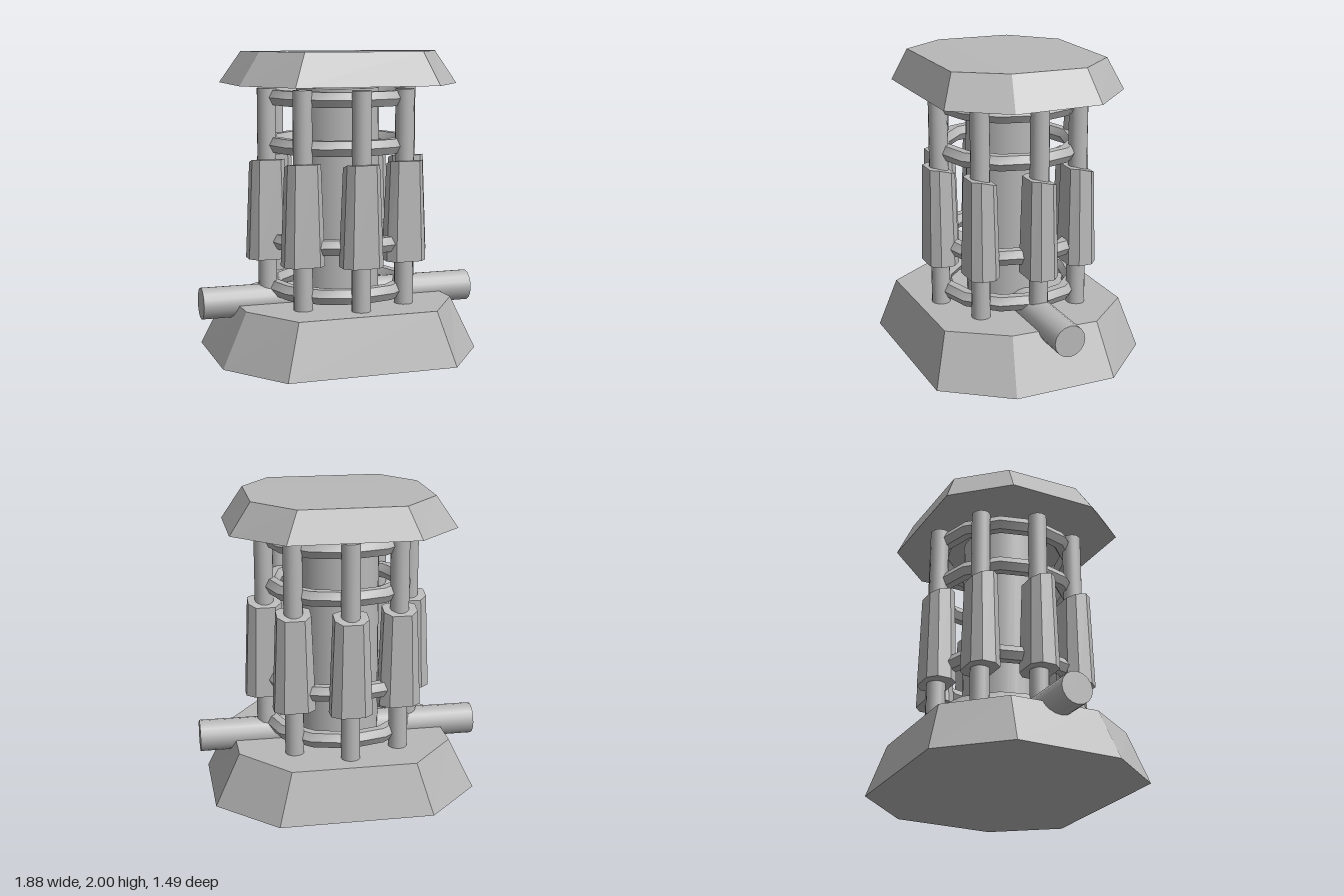
import * as THREE from 'three';
import { toCreasedNormals } from 'three/addons/utils/BufferGeometryUtils.js';

// Tapered eight-sided block of height 1 whose top slopes down to the back.
function taperedBlock() {
  // right-hand corners, front to back: x, z at the foot, then x, y, z at the top
  const right = [
    [0.56, 0.745, 0.46, 1, 0.645],
    [0.87, 0.33, 0.705, 1, 0.285],
    [0.87, -0.36, 0.705, 0.965, -0.315],
    [0.5, -0.745, 0.405, 0.935, -0.645],
  ];
  const foot = right.map(([x, z]) => [x, 0, z]);
  const top = right.map(([, , x, y, z]) => [x, y, z]);
  const mirrored = (pts) => [...pts, ...[...pts].reverse().map(([x, y, z]) => [-x, y, z])];
  const b = mirrored(foot), t = mirrored(top);
  const pos = [];
  const quad = (p, q, r, s) => pos.push(...p, ...q, ...r, ...p, ...r, ...s);
  for (let i = 0; i < 8; i++) {
    const j = (i + 1) % 8;
    quad(b[i], b[j], t[j], t[i]);
  }
  for (let i = 0; i < 3; i++) {
    quad(t[i], t[i + 1], t[6 - i], t[7 - i]);
    quad(b[7 - i], b[6 - i], b[i + 1], b[i]);
  }
  const g = new THREE.BufferGeometry();
  g.setAttribute('position', new THREE.Float32BufferAttribute(pos, 3));
  g.computeVertexNormals();
  return g;
}

export function createModel() {
  const model = new THREE.Group();
  model.name = 'reactorTower';
  const grey = new THREE.MeshStandardMaterial({ color: 0xb8b8b8 });
  grey.name = 'grey metal';

  const add = (name, geometry, x, y, z) => {
    const mesh = new THREE.Mesh(geometry, grey);
    mesh.name = name;
    mesh.position.set(x, y, z);
    model.add(mesh);
    return mesh;
  };

  // Base and roof share one block shape
  const block = taperedBlock();
  add('base', block, 0, 0, 0).scale.set(1, 0.353, 1);
  add('roof', block, 0, 1.787, 0).scale.set(0.84, 0.213, 0.845);

  // Central core
  add('core', new THREE.CylinderGeometry(0.275, 0.275, 1.46, 32), 0, 1.03, 0);

  // Eight poles, each with a sleeve that keeps the same heading
  const poleShape = new THREE.CylinderGeometry(0.062, 0.062, 1.46, 16);
  for (let i = 0; i < 8; i++) {
    const a = (i * Math.PI) / 4;
    const x = 0.487 * Math.cos(a), z = 0.487 * Math.sin(a);
    add('pole', poleShape, x, 1.03, z);
    add('sleeve', block, x, 0.643, z).scale.set(0.155, 0.655, 0.135);
  }

  // Six-sided rings around the core
  const ringShape = toCreasedNormals(
    new THREE.TorusGeometry(0.445, 0.056, 6, 12).rotateX(Math.PI / 2), 0.6);
  for (const y of [0.44, 0.76, 1.392, 1.7]) add('ring', ringShape, 0, y, 0);

  // Pipe running through from side to side
  const pipeShape = new THREE.CylinderGeometry(0.105, 0.105, 1.88, 16).rotateZ(Math.PI / 2);
  add('sidePipe', pipeShape, 0, 0.36, 0);

  return model;
}
